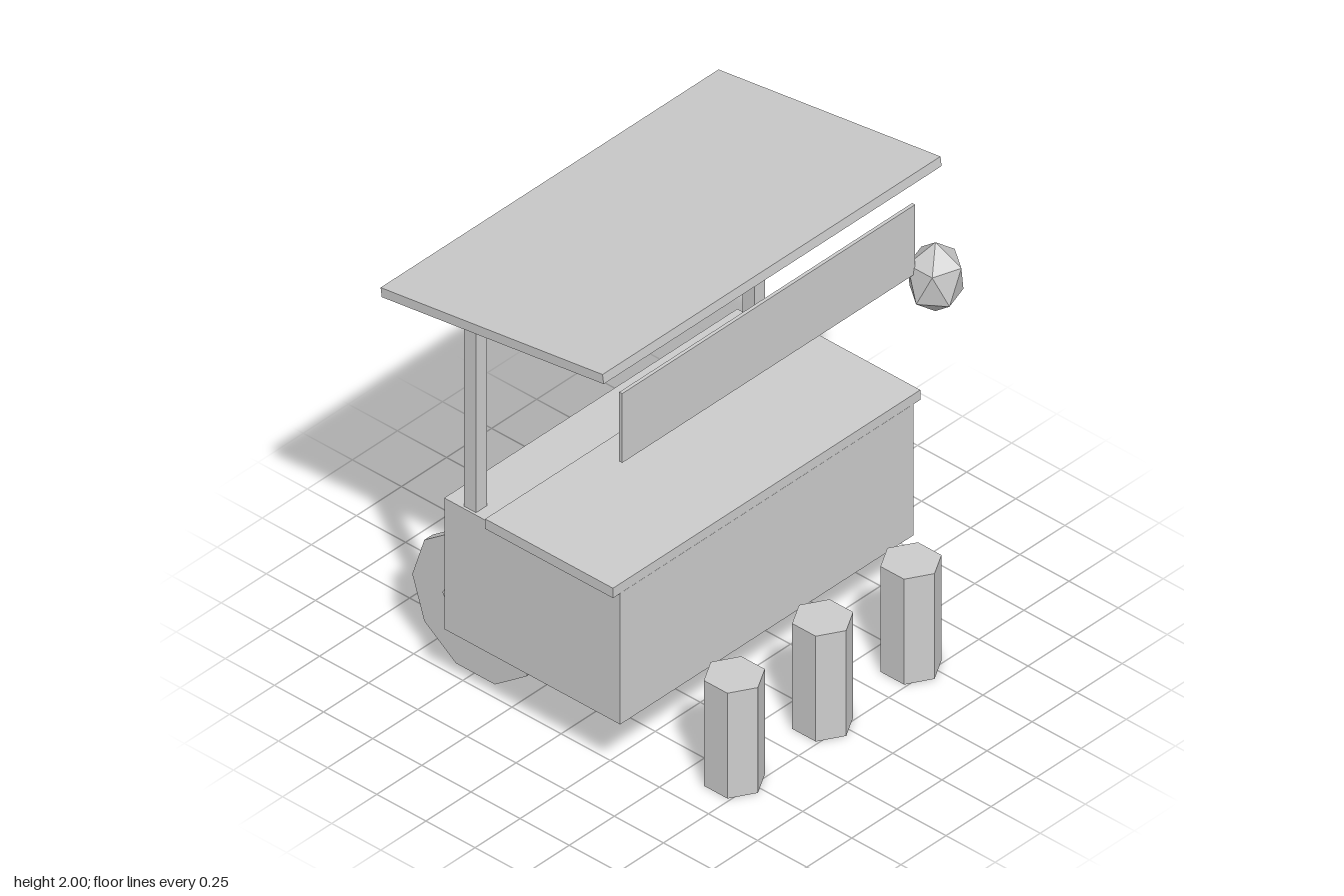
import * as THREE from 'three';
import { ConvexGeometry } from 'three/addons/geometries/ConvexGeometry.js';

export function createModel() {
  const stall = new THREE.Group();
  stall.name = 'marketStall';
  const grey = new THREE.MeshStandardMaterial({ color: 0xcccccc, flatShading: true });
  grey.name = 'plainGrey';
  const midX = -0.035; // the cart sits slightly off centre

  function add(name, geometry, x, y, z) {
    const mesh = new THREE.Mesh(geometry, grey);
    mesh.name = name;
    mesh.position.set(x, y, z);
    stall.add(mesh);
    return mesh;
  }
  const box = (name, w, h, d, x, y, z) => add(name, new THREE.BoxGeometry(w, h, d), x, y, z);

  // Cart body, counter and hanging board
  box('cartBody', 1.626, 0.61, 0.895, midX, 0.595, -0.057);
  box('counterTop', 1.705, 0.046, 0.65, midX, 0.922, 0.065);
  box('hangingBoard', 1.626, 0.322, 0.015, midX, 1.673, 0.393);

  // Roof, sloping down to the back
  box('roof', 1.875, 0.042, 1.14, midX - 0.002, 1.901, -0.145).rotation.x = -0.137;

  for (const [side, s] of [['left', 1], ['right', -1]]) {
    // Rear roof posts
    box(side + 'Post', 0.06, 0.945, 0.06, midX + s * 0.772, 1.373, -0.383);

    // Wheels with hubs, axle along x
    const wheelX = midX - 0.002 + s * 0.651;
    const tyre = new THREE.CylinderGeometry(0.321, 0.321, 0.046, 10).rotateZ(Math.PI / 2);
    const hub = new THREE.CylinderGeometry(0.16, 0.16, 0.063, 6).rotateZ(Math.PI / 2);
    add(side + 'Wheel', tyre, wheelX, 0.329, -0.472);
    add(side + 'Hub', hub, wheelX, 0.329, -0.472);
  }

  // Hexagonal stools in front of the counter
  for (const i of [-1, 0, 1]) {
    add('stool', new THREE.CylinderGeometry(0.12, 0.12, 0.49, 6), -0.037 + i * 0.49, 0.245, 0.677);
  }

  // Faceted lantern: two poles and two staggered rings of five
  const points = [new THREE.Vector3(0, 0.16, 0), new THREE.Vector3(0, -0.16, 0)];
  for (let i = 0; i < 10; i++) {
    const a = (i * Math.PI) / 5;
    points.push(new THREE.Vector3(0.107 * Math.cos(a), i % 2 ? -0.0716 : 0.0716, 0.107 * Math.sin(a)));
  }
  add('lantern', new ConvexGeometry(points), 0.858, 1.47, 0.43);

  return stall;
}
